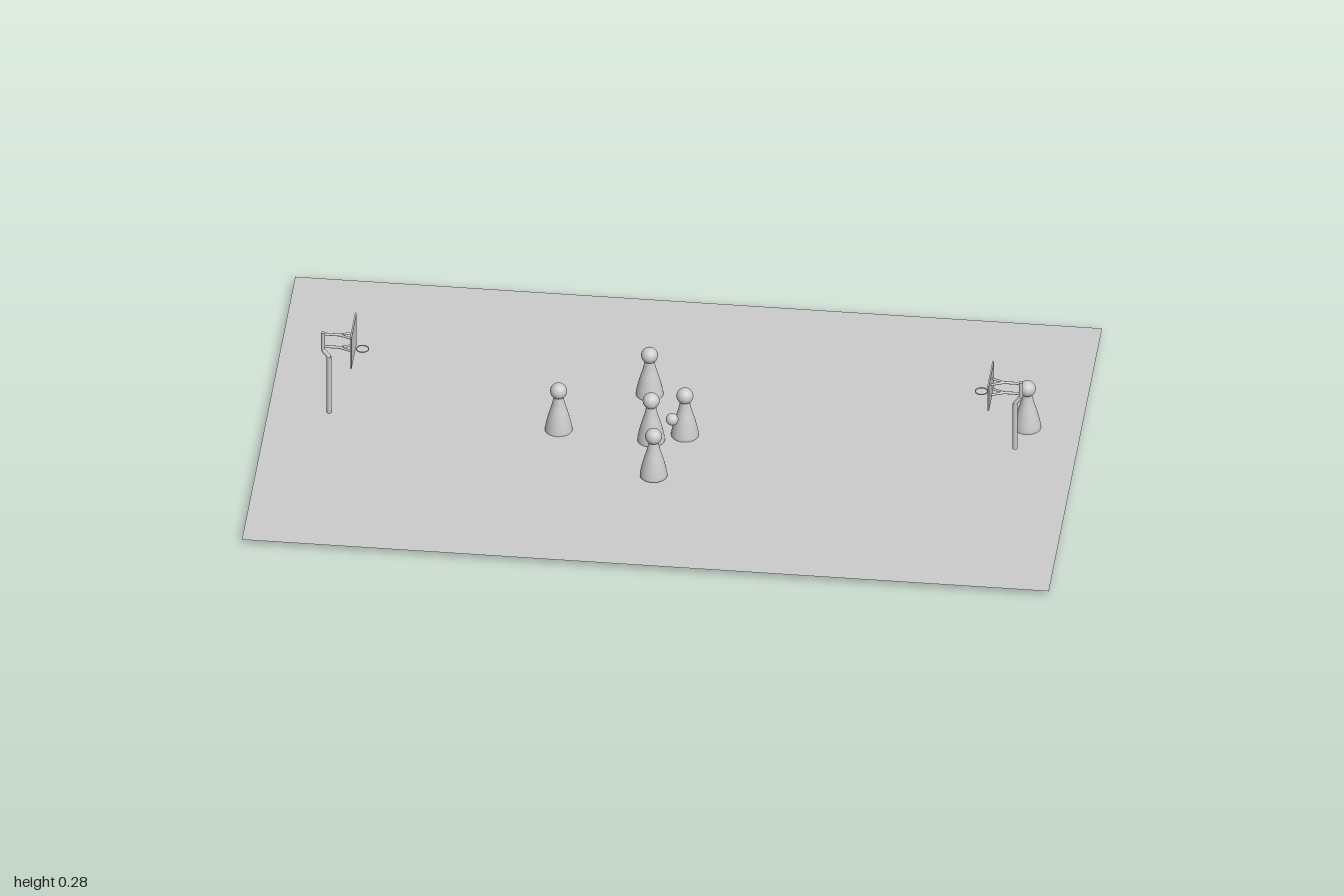
import * as THREE from 'three';

const grey = new THREE.MeshStandardMaterial({ color: 0xcccccc });
const thin = new THREE.MeshStandardMaterial({ color: 0xcccccc, side: THREE.DoubleSide });

function add(parent, name, geometry, x = 0, y = 0, z = 0, material = grey) {
  const mesh = new THREE.Mesh(geometry, material);
  mesh.name = name;
  mesh.position.set(x, y, z);
  parent.add(mesh);
  return mesh;
}

// Straight round rod between two points
function rod(parent, name, a, b, radius) {
  const from = new THREE.Vector3(...a), to = new THREE.Vector3(...b);
  const dir = to.clone().sub(from);
  const mesh = add(parent, name, new THREE.CylinderGeometry(radius, radius, dir.length(), 12));
  mesh.position.copy(from).add(to).multiplyScalar(0.5);
  mesh.quaternion.setFromUnitVectors(new THREE.Vector3(0, 1, 0), dir.normalize());
}

// Flared body and ball head, turned as one profile
function pawnGeometry() {
  const skirt = new THREE.SplineCurve([
    [0.034, 0], [0.0335, 0.008], [0.030, 0.026], [0.024, 0.05],
    [0.0175, 0.072], [0.0135, 0.09], [0.012, 0.1],
  ].map(p => new THREE.Vector2(...p))).getPoints(24);
  const points = [new THREE.Vector2(0, 0), new THREE.Vector2(0.034, 0), ...skirt];
  for (let i = 0; i <= 16; i++) {
    const t = -0.95 + (Math.PI / 2 + 0.95) * i / 16;
    points.push(new THREE.Vector2(Math.max(0, 0.0208 * Math.cos(t)), 0.1152 + 0.0208 * Math.sin(t)));
  }
  return new THREE.LatheGeometry(points, 40);
}

// Cranked post, braced arms, backboard and ring; the hoop faces +x
function basket(name, bottom, top, armLow, boardBottom, boardTop) {
  const g = new THREE.Group();
  g.name = name;
  const bend = armLow - 0.03;
  rod(g, 'post', [-0.85, bottom, 0], [-0.85, bend, 0], 0.006);
  rod(g, 'postBend', [-0.85, bend, 0], [-0.865, bend + 0.02, 0], 0.0055);
  rod(g, 'postTop', [-0.865, bend + 0.02, 0], [-0.865, top + 0.004, 0], 0.005);
  for (const y of [top, armLow]) {
    rod(g, 'arm', [-0.865, y, 0], [-0.815, y, 0], 0.0035);
    for (const s of [-1, 1]) rod(g, 'armBrace', [-0.825, y, 0], [-0.79, y, s * 0.014], 0.003);
  }
  add(g, 'backboard', new THREE.BoxGeometry(0.004, boardTop - boardBottom, 0.112),
    -0.79, (boardTop + boardBottom) / 2, 0);
  add(g, 'ring', new THREE.TorusGeometry(0.015, 0.0015, 8, 32), -0.767, armLow, 0)
    .rotation.x = Math.PI / 2;
  return g;
}

export function createModel() {
  const model = new THREE.Group();
  model.name = 'court';

  // Ground sheet
  add(model, 'courtFloor', new THREE.PlaneGeometry(2, 1.16), 0, 0.0135, 0, thin).rotation.x = -Math.PI / 2;

  // Baskets at both ends
  model.add(basket('rightBasket', 0, 0.245, 0.208, 0.184, 0.276));
  const left = basket('leftBasket', 0.036, 0.23, 0.2, 0.18, 0.254);
  left.rotation.y = Math.PI;
  model.add(left);

  // Players as [x, base height, z]
  const pawn = pawnGeometry();
  [
    [-0.28, 0.012, 0.01], [-0.075, 0.0125, -0.17], [-0.048, 0.016, 0.033],
    [0.032, 0.0145, 0], [-0.024, 0.018, 0.19], [0.866, 0.0125, -0.13],
  ].forEach(p => add(model, 'player', pawn, ...p));

  add(model, 'ball', new THREE.SphereGeometry(0.0155, 32, 20), 0.008, 0.104, 0.068);
  return model;
}
